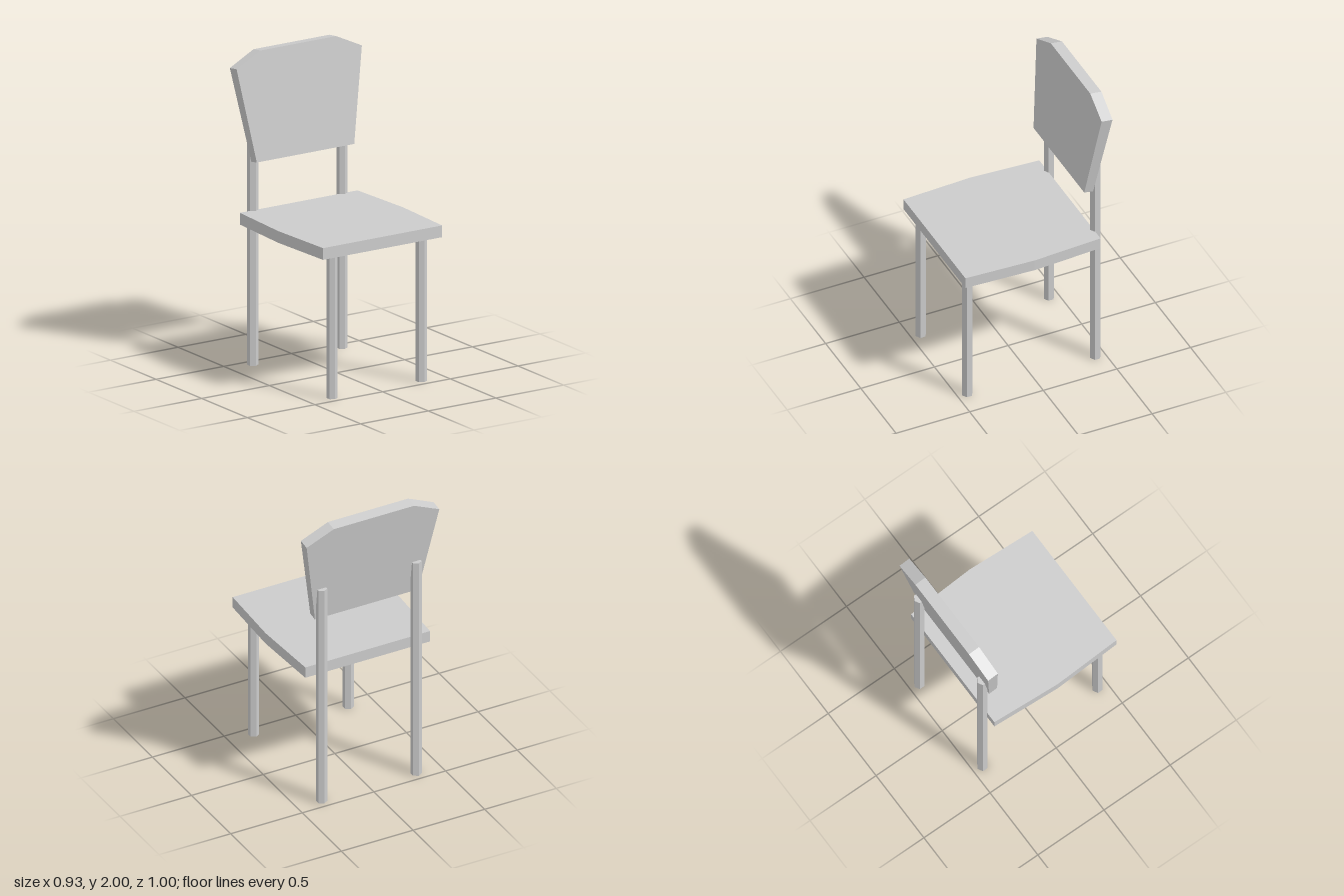
import * as THREE from 'three';

const material = new THREE.MeshStandardMaterial({ color: 0xcccccc, flatShading: true });

function addPart(group, name, geometry) {
  const mesh = new THREE.Mesh(geometry, material);
  mesh.name = name;
  group.add(mesh);
  return mesh;
}

// Extrude an outline given by its right half, mirrored across x = 0
function mirroredSlab(half, depth) {
  const points = half.map(([x, y]) => new THREE.Vector2(x, y));
  const mirrored = half.map(([x, y]) => new THREE.Vector2(-x, y)).reverse();
  return new THREE.ExtrudeGeometry(new THREE.Shape([...points, ...mirrored]), { depth, bevelEnabled: false });
}

export function createModel() {
  const chair = new THREE.Group();
  chair.name = 'chair';

  // Seat: slab with slightly bowed sides
  const seat = mirroredSlab([[0.435, -0.42], [0.461, 0.04], [0.44, 0.5]], 0.075);
  seat.rotateX(Math.PI / 2);
  seat.translate(0, 0.99, 0);
  addPart(chair, 'seat', seat);

  // Backrest: flared panel with cut corners, leaning back and thicker at the top
  const bottom = 1.317, top = 2;
  const back = mirroredSlab([[0.36, bottom], [0.463, 1.913], [0.28, top]], 1);
  const pos = back.attributes.position;
  for (let i = 0; i < pos.count; i++) {
    const y = pos.getY(i);
    const t = (y - bottom) / (top - bottom);
    if (pos.getZ(i) > 0.5) {
      pos.setZ(i, -0.345 - 0.079 * t);
    } else {
      pos.setZ(i, -0.405 - 0.095 * t);
      pos.setY(i, y - 0.01);
    }
  }
  back.computeVertexNormals();
  addPart(chair, 'backrest', back);

  // Hexagonal legs; the rear pair rises behind the backrest
  for (const [side, x] of [['left', 0.33], ['right', -0.33]]) {
    for (const [place, z, height] of [['Front', 0.435, 0.92], ['Back', -0.435, 1.54]]) {
      const leg = addPart(chair, `${side}${place}Leg`, new THREE.CylinderGeometry(0.035, 0.035, height, 6));
      leg.position.set(x, height / 2, z);
    }
  }

  return chair;
}
